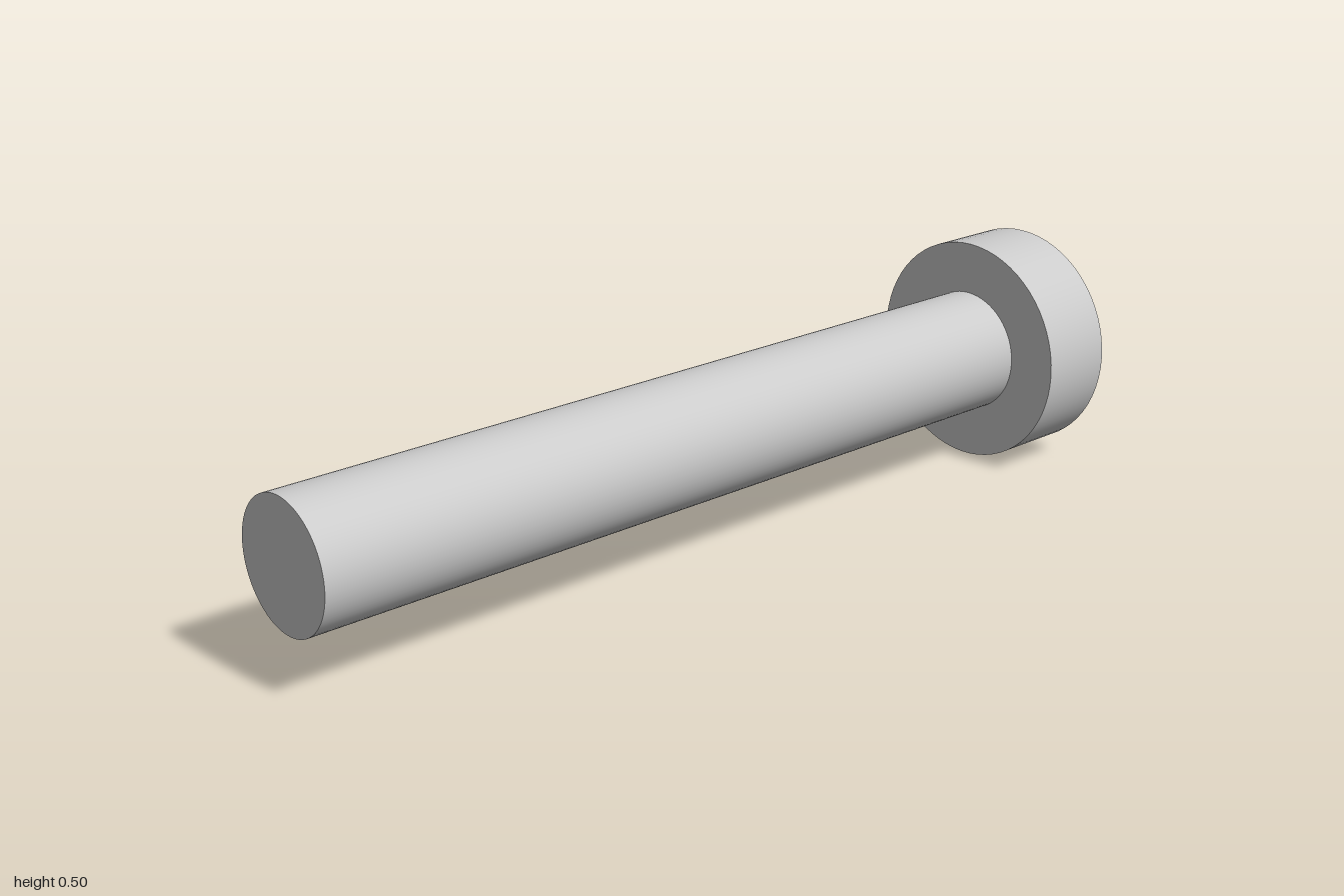
import * as THREE from 'three';
import { toCreasedNormals } from 'three/addons/utils/BufferGeometryUtils.js';

const SEGMENTS = 64;
const HEAD_R = 0.25, SHAFT_R = 0.136, SOCKET_R = 0.092;
const BACK = -1, FRONT = 1, SHOULDER = -0.82, SOCKET_DEPTH = 0.095;

// Revolves [radius, z] pairs, listed back to front, around the z axis
function revolve(profile) {
  const points = profile.map(([r, z]) => new THREE.Vector2(r, z));
  const geometry = new THREE.LatheGeometry(points, SEGMENTS).rotateX(Math.PI / 2);
  return toCreasedNormals(geometry, 0.6);
}

export function createModel() {
  const group = new THREE.Group();
  group.name = 'socketHeadBolt';
  const grey = new THREE.MeshStandardMaterial({ color: 0xcccccc });
  const inside = new THREE.MeshStandardMaterial({ color: 0xcccccc, side: THREE.BackSide, flatShading: true });

  const add = (name, geometry, material = grey) => {
    const mesh = new THREE.Mesh(geometry, material);
    mesh.name = name;
    mesh.position.y = HEAD_R;
    group.add(mesh);
  };

  // Plain shaft with a flat tip
  add('shaft', revolve([[SHAFT_R, SHOULDER], [SHAFT_R, FRONT], [0, FRONT]]));

  // Head rim and the shoulder around the shaft
  add('head', revolve([[HEAD_R, BACK], [HEAD_R, SHOULDER], [SHAFT_R, SHOULDER]]));

  // Flat back of the head, pierced by the hexagon
  const face = new THREE.Shape().absarc(0, 0, HEAD_R, 0, Math.PI * 2);
  const corners = Array.from({ length: 6 }, (_, i) => {
    const a = Math.PI / 2 + i * Math.PI / 3;
    return new THREE.Vector2(SOCKET_R * Math.cos(a), SOCKET_R * Math.sin(a));
  });
  face.holes.push(new THREE.Path(corners));
  add('headFace', new THREE.ShapeGeometry(face, SEGMENTS).rotateY(Math.PI).translate(0, 0, BACK));

  // Hexagonal socket: inner walls and floor
  add('socketWalls', new THREE.CylinderGeometry(SOCKET_R, SOCKET_R, SOCKET_DEPTH, 6, 1, true)
    .rotateX(Math.PI / 2).translate(0, 0, BACK + SOCKET_DEPTH / 2), inside);
  add('socketFloor', new THREE.CircleGeometry(SOCKET_R, 6, Math.PI / 2)
    .rotateY(Math.PI).translate(0, 0, BACK + SOCKET_DEPTH));

  return group;
}
